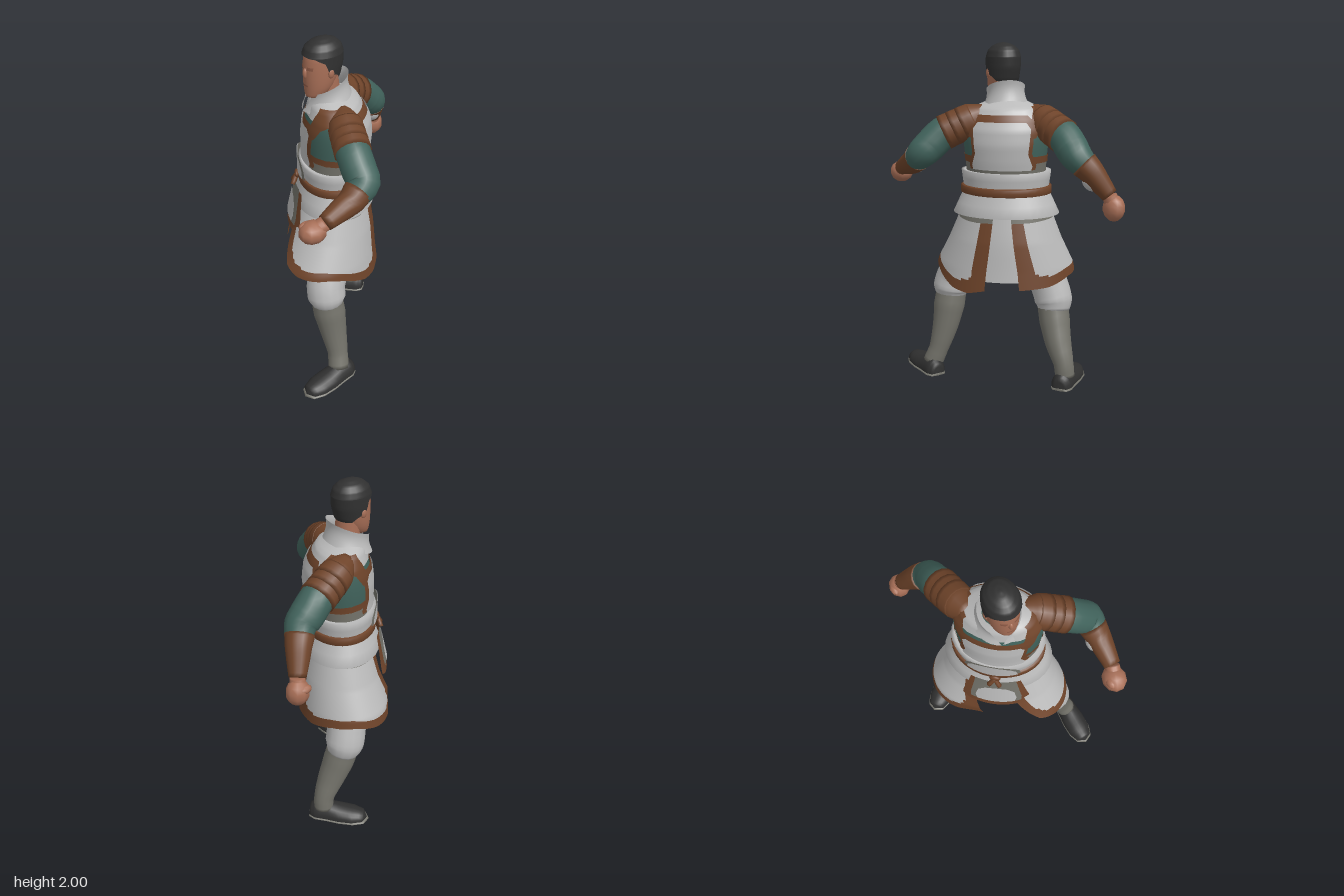
import * as THREE from 'three';
import { mergeVertices } from 'three/addons/utils/BufferGeometryUtils.js';

const paint = (name, color) => {
  const m = new THREE.MeshStandardMaterial({ color, side: THREE.DoubleSide });
  m.name = name;
  return m;
};
const D = Math.PI / 180;
const lerp = THREE.MathUtils.lerp;

// Smooth grid from a rule (u, v) => [x, y, z]; pick(u, v) chooses the material of each cell
function surface(name, fn, nu, nv, mats, pick) {
  const pos = [], idx = [], list = [].concat(mats);
  for (let j = 0; j <= nv; j++) for (let i = 0; i <= nu; i++) pos.push(...fn(i / nu, j / nv));
  const cells = list.map(() => []);
  for (let j = 0; j < nv; j++) for (let i = 0; i < nu; i++) {
    const a = j * (nu + 1) + i, c = a + nu + 1;
    cells[pick ? pick((i + 0.5) / nu, (j + 0.5) / nv) : 0].push(a, a + 1, c + 1, a, c + 1, c);
  }
  const g = new THREE.BufferGeometry();
  g.setAttribute('position', new THREE.Float32BufferAttribute(pos, 3));
  cells.forEach((c, k) => { if (list.length > 1) g.addGroup(idx.length, c.length, k); idx.push(...c); });
  g.setIndex(idx);
  const merged = mergeVertices(g, 1e-5);
  merged.computeVertexNormals();
  const mesh = new THREE.Mesh(merged, list.length > 1 ? list : list[0]);
  mesh.name = name;
  return mesh;
}

// Linear lookup in a table of rows at position t (0..1)
function rowAt(rows, t) {
  const f = t * (rows.length - 1), i = Math.min(Math.floor(f), rows.length - 2);
  return rows[i].map((v, k) => lerp(v, rows[i + 1][k], f - i));
}

// Point on an upright body with profile rows [y, halfWidth, halfDepth, zShift]
function onBody(prof, angle, y, off = 0) {
  let i = 0;
  while (i < prof.length - 2 && y > prof[i + 1][0]) i++;
  const t = THREE.MathUtils.clamp((y - prof[i][0]) / (prof[i + 1][0] - prof[i][0]), 0, 1);
  const [, a, b, c] = prof[i].map((v, k) => lerp(v, prof[i + 1][k], t));
  return [(a + off) * Math.sin(angle), y, c + (b + off) * Math.cos(angle)];
}
const shell = (name, prof, mat) => surface(name, (u, v) => {
  const [y, a, b, c] = rowAt(prof, v), t = u * 2 * Math.PI;
  return [a * Math.sin(t), y, c + b * Math.cos(t)];
}, 32, (prof.length - 1) * 2, mat);
// Thin plate following a body; rows are [y, startAngle, endAngle] in degrees
const patch = (name, prof, rows, off, mat) => surface(name, (u, v) => {
  const [y, a0, a1] = rowAt(rows, v);
  return onBody(prof, lerp(a0, a1, u) * D, y, off);
}, 20, (rows.length - 1) * 4, mat);

// Rounded limb through points [x, y, z, radius]
function limb(name, pts, mat) {
  const curve = new THREE.CatmullRomCurve3(pts.map(p => new THREE.Vector3(p[0], p[1], p[2])));
  const n = (pts.length - 1) * 4;
  const ref = new THREE.Vector3(0.31, 0.1, -0.95);
  return surface(name, (u, v) => {
    const k = Math.round(v * (n + 2)), t = THREE.MathUtils.clamp((k - 1) / n, 0, 1);
    const r = k === 0 || k === n + 2 ? 0 : rowAt(pts, t)[3];
    const tan = curve.getTangent(t);
    const e1 = new THREE.Vector3().crossVectors(tan, ref).normalize();
    const e2 = new THREE.Vector3().crossVectors(tan, e1);
    const p = curve.getPoint(t);
    p.addScaledVector(e1, r * Math.cos(u * 2 * Math.PI)).addScaledVector(e2, r * Math.sin(u * 2 * Math.PI));
    return [p.x, p.y, p.z];
  }, 16, n + 2, mat);
}

function blob(name, p, s, mat, seg = 14) {
  const m = new THREE.Mesh(new THREE.SphereGeometry(1, seg, Math.ceil(seg * 0.7)), mat);
  m.name = name;
  m.position.set(...p);
  m.scale.set(...s);
  return m;
}

export function createModel() {
  const white = paint('paleCloth', 0xbababa), grey = paint('bootGrey', 0x73726a);
  const brown = paint('brownLeather', 0x6f442a), green = paint('greenCloth', 0x41635c);
  const skin = paint('skin', 0xa86f57), dark = paint('darkHairAndShoes', 0x303030);
  const shade = paint('deepSkin', 0x8f5b47);
  const root = new THREE.Group();
  root.name = 'warrior';

  // Torso, turned towards the right
  const body = new THREE.Group();
  body.name = 'torso';
  body.position.set(-0.05, 0, 0.04);
  body.rotation.y = -36 * D;
  root.add(body);
  const chest = [[1.15, 0.235, 0.175, 0], [1.25, 0.23, 0.175, 0], [1.34, 0.235, 0.18, -0.01], [1.44, 0.245, 0.185, -0.015],
    [1.52, 0.245, 0.175, -0.015], [1.58, 0.23, 0.155, -0.01], [1.64, 0.185, 0.13, 0.0], [1.69, 0.07, 0.07, 0.03]];
  body.add(shell('lowerTorso', chest.slice(0, 3), grey), shell('upperTorso', chest.slice(2), green));
  body.add(patch('yoke', chest, [[1.578, 0, 360], [1.64, 0, 360], [1.69, 0, 360]], 0.006, white));
  body.add(patch('sideBand', chest, [[1.335, 0, 360], [1.375, 0, 360]], 0.005, brown));
  for (const [side, mid, rise] of [['front', 0, 1], ['back', 180, 1.2]]) {
    const rows = k => [[1.3, 50], [1.32, 52], [1.38, 43], [1.46, 45], [1.52, 47], [1.555, 40]]
      .map(([y, h]) => [1.3 + (lerp(1.36, y, k === 1 || y < 1.33 ? 1 : k) - 1.3) * rise, mid - h * k, mid + h * k]);
    body.add(patch(side + 'PlateTrim', chest, rows(1), 0.008, brown));
    body.add(patch(side + 'Plate', chest, rows(0.84), 0.015, white));
    // Straps joining the plates to the shoulders
    for (const s of [-1, 1])
      body.add(patch(side + 'Strap', chest, [[1.48, mid + s * 38, mid + s * 48], [1.55, mid + s * 38, mid + s * 62],
        [1.6, mid + s * 46, mid + s * 90], [1.65, mid + s * 60, mid + s * 90]], 0.01, brown));
  }

  // Waist: band, belt, flared lower band
  const band = [[1.19, 0.25, 0.19, 0], [1.28, 0.262, 0.2, 0], [1.28, 0.225, 0.17, 0]];
  body.add(shell('waistBand', band, white));
  body.add(shell('belt', [[1.145, 0.25, 0.19, 0], [1.15, 0.266, 0.204, 0], [1.19, 0.266, 0.204, 0], [1.195, 0.25, 0.19, 0]], brown));
  body.add(shell('lowerBand', [[1.035, 0.27, 0.2, 0], [1.03, 0.312, 0.232, 0], [1.15, 0.256, 0.192, 0]], white));
  const belly = [[1.19, 0.255, 0.195, 0], [1.33, 0.255, 0.195, 0]];
  const dome = k => [[1.2, -32 * k, 32 * k], [1.25, -30 * k, 30 * k], [1.29, -23 * k, 23 * k], [1.315, -13 * k, 13 * k], [1.325, -3, 3]];
  body.add(patch('bellyPlate', belly, dome(1), 0.014, white), patch('bellyPlateRim', belly, dome(1.15), 0.009, grey));
  body.add(blob('beltKnot', [0.02, 1.168, 0.212], [0.032, 0.022, 0.014], brown));
  for (const s of [-1, 1]) body.add(limb('beltTie', [[0.02, 1.16, 0.215, 0.012], [0.02 + s * 0.03, 1.11, 0.235, 0.014]], brown));

  // Skirt panels with trimmed edges and hem, pushed out over the leading thigh
  const skirt = [[0.56, 0.425, 0.315, 0.05], [0.72, 0.395, 0.29, 0.045], [0.88, 0.325, 0.245, 0.015], [1.07, 0.255, 0.195, 0]];
  const bump = (a, mid, w) => Math.exp(-(((a - mid) / w) ** 2));
  const panel = (name, front, back, hem) => surface(name, (u, v) => {
    const ang = lerp(lerp(front[0], front[1], v * v), lerp(back[0], back[1], v), u);
    const off = v * (0.05 * bump(ang, 58, 42) - 0.06 * bump(ang, -10, 30));
    return onBody(skirt, ang * D, lerp(1.07, rowAt(hem, u)[0], v), off);
  }, 50, 32, [white, brown, grey], (u, v) => {
    const edge = Math.min(u, 1 - u);
    const corner = Math.hypot(Math.max(0, 0.18 - edge) / 0.09, Math.max(0, v - 0.75) / 0.11) > 1;
    return v < 0.17 ? 2 : edge < 0.09 || v > 0.86 || corner ? 1 : 0;
  });
  body.add(panel('leftSkirtPanel', [18, 45], [171, 168], [[0.735], [0.705], [0.7], [0.7], [0.68], [0.64], [0.6], [0.585], [0.61]]));
  body.add(panel('rightSkirtPanel', [-23, -7], [-168, -164], [[0.68], [0.64], [0.65], [0.68], [0.67], [0.63], [0.62]]));
  body.add(patch('backSkirtStrip', skirt, [[0.66, 158, 205], [0.85, 160, 202], [1.06, 162, 198]], -0.012, white));
  // Front apron
  const apron = [[0.86, 0.335, 0.265, 0.01], [1.12, 0.285, 0.215, 0]];
  body.add(patch('apronTrim', apron, [[0.865, -22, 36], [0.885, -30, 42], [0.93, -30, 42], [1.11, -24, 34]], 0.002, brown));
  body.add(patch('apronPanel', apron, [[0.91, -20, 32], [0.95, -21, 33], [1.13, -18, 28]], 0.008, grey));
  body.add(patch('apronPlate', apron, [[0.92, -13, 25], [0.96, -15, 27], [1.02, -13, 25], [1.055, -6, 18], [1.065, 3, 9]], 0.014, white));
  body.add(blob('hips', [0, 0.93, 0.01], [0.235, 0.16, 0.175], white, 20));

  // Legs: puffed trousers, boots and shoes
  root.add(limb('leftTrouser', [[0.04, 0.95, 0.08, 0.135], [0.125, 0.74, 0.19, 0.124], [0.182, 0.6, 0.275, 0.112],
    [0.2, 0.53, 0.285, 0.112], [0.205, 0.485, 0.285, 0.09]], white));
  root.add(limb('leftBoot', [[0.2, 0.52, 0.285, 0.092], [0.22, 0.42, 0.28, 0.095], [0.25, 0.29, 0.275, 0.079],
    [0.295, 0.15, 0.278, 0.06], [0.328, 0.06, 0.295, 0.062]], grey));
  root.add(limb('rightTrouser', [[-0.14, 0.95, 0.0, 0.14], [-0.23, 0.72, -0.04, 0.125], [-0.275, 0.58, -0.09, 0.113],
    [-0.29, 0.49, -0.115, 0.114], [-0.285, 0.43, -0.13, 0.092]], white));
  root.add(limb('rightBoot', [[-0.285, 0.47, -0.115, 0.094], [-0.28, 0.37, -0.15, 0.093], [-0.275, 0.25, -0.205, 0.079],
    [-0.28, 0.14, -0.26, 0.06], [-0.285, 0.06, -0.27, 0.058]], grey));
  const lastRows = [[-0.085, 0, 0], [-0.08, 0.042, 0.06], [-0.045, 0.062, 0.085], [0.03, 0.066, 0.083], [0.1, 0.074, 0.068],
    [0.18, 0.072, 0.056], [0.24, 0.05, 0.042], [0.265, 0, 0]];
  for (const [side, x, z, turn] of [['left', 0.338, 0.288, 0.07], ['right', -0.28, -0.265, -0.85]]) {
    const foot = new THREE.Group();
    foot.name = side + 'Foot';
    foot.position.set(x, 0, z);
    foot.rotation.y = turn;
    const shoe = (name, w, base, rise, mat) => surface(name, (u, v) => {
      const [l, hw, h] = rowAt(lastRows, v), t = u * 2 * Math.PI;
      return [hw * w * Math.cos(t), base + Math.max(0, Math.sin(t)) * rise(h), l * w];
    }, 20, 21, mat);
    foot.add(shoe('shoe', 1, 0.012, h => h, dark), shoe('sole', 1.04, 0, h => Math.min(h, 0.014), grey));
    root.add(foot);
  }

  // Arms: layered shoulder guards, sleeves, bracers and fists
  const arms = {
    left: { s: [0.13, 1.575, 0.1], m: [0.29, 1.495, 0.165], e: [0.41, 1.385, 0.19], f: [0.43, 1.325, 0.28], w: [0.437, 1.265, 0.455],
      h: [0.42, 1.228, 0.52], hs: [0.068, 0.062, 0.078], spot: [0.4, 1.298, 0.305] },
    right: { s: [-0.2, 1.575, -0.1], m: [-0.245, 1.495, -0.28], e: [-0.262, 1.395, -0.395], f: [-0.315, 1.325, -0.45], w: [-0.395, 1.195, -0.52],
      h: [-0.415, 1.125, -0.535], hs: [0.06, 0.075, 0.066], spot: [-0.318, 1.264, -0.45] },
  };
  for (const [side, a] of Object.entries(arms)) {
    const mix = (p, q, t, r) => [...p.map((v, k) => lerp(v, q[k], t)), r];
    root.add(limb(side + 'Sleeve', [mix(a.s, a.m, 0.3, 0.088), [...a.m, 0.094], mix(a.m, a.e, 0.6, 0.094), [...a.e, 0.088], [...a.f, 0.066]], green));
    root.add(limb(side + 'ShoulderCap', [mix(a.s, a.m, -0.45, 0.05), mix(a.s, a.m, 0, 0.092), mix(a.s, a.m, 0.4, 0.097)], brown));
    for (let k = 0; k < 3; k++)
      root.add(limb(side + 'ShoulderGuard', [mix(a.s, a.m, k * 0.29, 0.092 + k * 0.002),
        mix(a.s, a.m, k * 0.29 + 0.4, 0.099 + k * 0.001)], brown));
    root.add(limb(side + 'Bracer', [mix(a.e, a.f, 0.5, 0.08), mix(a.f, a.w, 0.05, 0.071), mix(a.f, a.w, 0.5, 0.06), [...a.w, 0.046]], brown));
    const spot = blob(side + 'BracerSpot', a.spot, [0.046, 0.056, 0.046], white);
    spot.quaternion.setFromUnitVectors(new THREE.Vector3(0, 1, 0),
      new THREE.Vector3(...a.w).sub(new THREE.Vector3(...a.f)).normalize());
    root.add(spot);
    root.add(blob(side + 'Fist', a.h, a.hs, skin, 10), limb(side + 'Wrist', [[...a.w, 0.04], [...a.h, 0.045]], skin));
    root.add(blob(side + 'Thumb', [a.h[0] - 0.035, a.h[1] + 0.025, a.h[2] + 0.02], [0.025, 0.025, 0.04], skin, 8));
  }

  // Neck and standing collar, open at the front
  root.add(limb('neck', [[-0.06, 1.6, 0.06, 0.08], [-0.06, 1.7, 0.075, 0.07], [-0.06, 1.8, 0.085, 0.068]], skin));
  const collar = surface('collar', (u, v) => {
    const gap = lerp(2, 34, v) * D, t = lerp(gap, 2 * Math.PI - gap, u), r = lerp(0.135, 0.108, Math.sin(v * 2));
    const low = 1.635 - 0.045 * Math.cos(t), high = 1.745 - 0.05 * Math.cos(t);
    return [r * Math.sin(t), lerp(low, high, v), r * Math.cos(t) - 0.005 + 0.01 * v * Math.cos(t)];
  }, 32, 6, white);
  collar.position.set(-0.065, 0, 0.08);
  collar.rotation.y = -0.3;
  root.add(collar);

  // Head, looking forwards
  const head = new THREE.Group();
  head.name = 'head';
  head.position.set(-0.06, 0, 0.1);
  root.add(head);
  const skull = [[1.68, 0, 0, 0.06], [1.69, 0.045, 0.045, 0.06], [1.71, 0.062, 0.068, 0.04], [1.75, 0.076, 0.086, 0.025],
    [1.8, 0.083, 0.1, 0.013], [1.86, 0.086, 0.108, 0.004], [1.92, 0.085, 0.106, -0.002], [1.96, 0.066, 0.084, -0.005], [1.98, 0, 0, -0.005]];
  const hairForm = [...skull.slice(3, 7).map(([y, a, b, c]) => [y, a + 0.011, b + 0.011, c]),
    [1.955, 0.085, 0.104, -0.003], [1.98, 0.06, 0.076, -0.005], [1.995, 0.028, 0.038, -0.005], [2, 0, 0, -0.005]];
  head.add(shell('face', skull, skin));
  head.add(patch('hair', hairForm, [[1.785, 50], [1.81, 68], [1.835, 98], [1.89, 112], [1.915, 140], [1.92, 180], [1.955, 180],
    [1.98, 180], [1.995, 180], [2, 180]].map(([y, h]) => [y, 180 - h, 180 + h]), 0, dark));
  head.add(blob('nose', [0, 1.825, 0.11], [0.013, 0.03, 0.016], skin, 12));
  head.add(patch('mouth', skull, [[1.752, -16, 16], [1.762, -14, 14]], 0.002, shade));
  for (const s of [-1, 1]) {
    head.add(blob('ear', [s * 0.09, 1.83, 0.01], [0.011, 0.028, 0.02], skin, 8));
    head.add(patch('eye', skull, [[1.848, s * 13, s * 33], [1.866, s * 11, s * 35]], 0.002, shade));
  }
  return root;
}
